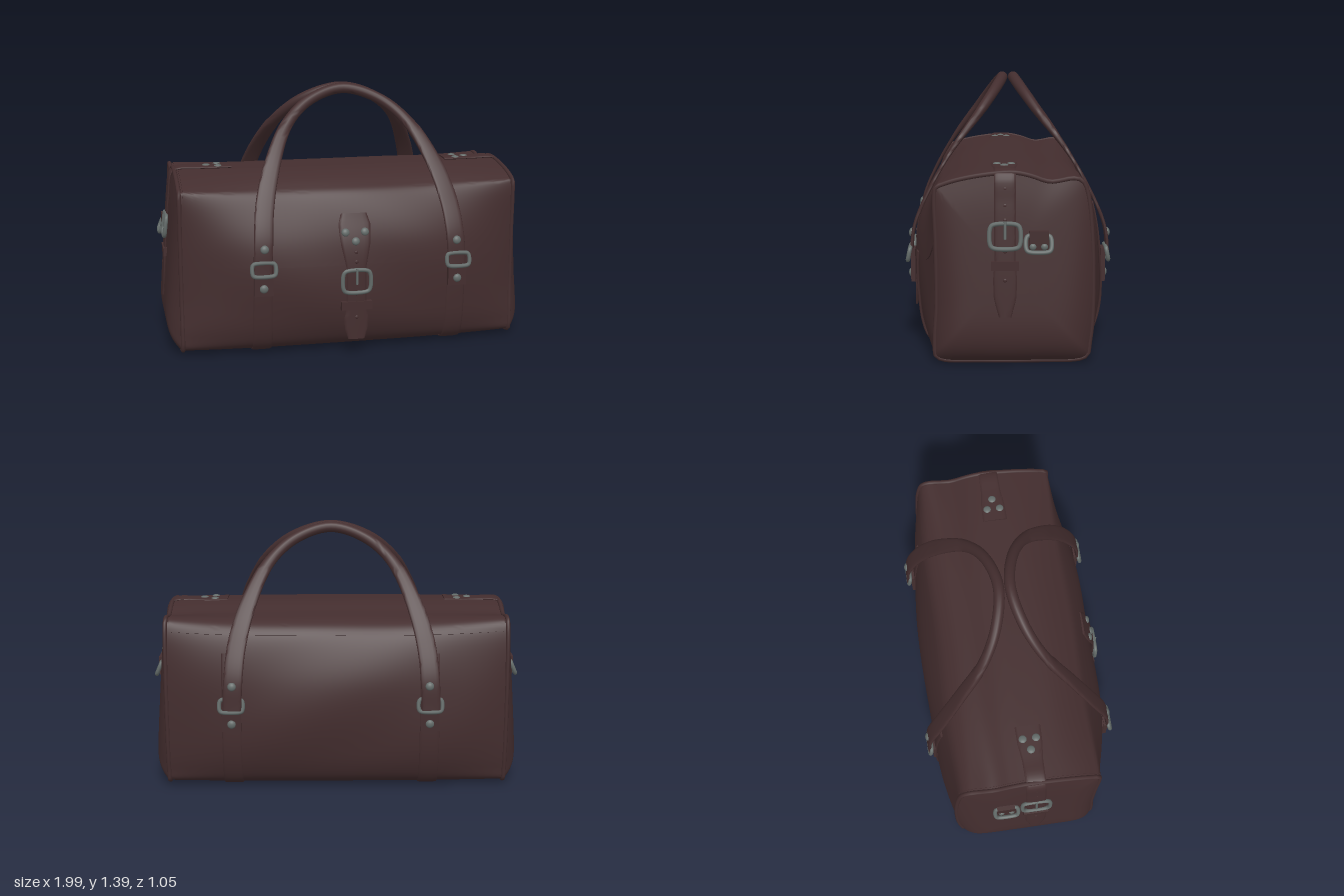
import * as THREE from 'three';
import { mergeVertices, toCreasedNormals } from 'three/addons/utils/BufferGeometryUtils.js';

const V = (x, y, z) => new THREE.Vector3(x, y, z);
const leather = new THREE.MeshStandardMaterial({ color: 0x432d2e });
leather.name = 'brown leather';
const metal = new THREE.MeshStandardMaterial({ color: 0x626a68 });
metal.name = 'dull metal';

// Cross-sections as [z, y], from the top centre over the front, bottom and back
const END = [[0, .945], [.18, .925], [.33, .885], [.362, .84], [.357, .6], [.355, .3], [.365, .1], [.34, .022], [.15, .012],
  [-.15, .012], [-.36, .022], [-.395, .1], [-.41, .3], [-.405, .6], [-.38, .84], [-.33, .915], [-.2, .9], [-.1, .93]];
const MID = [[0, .95], [.18, .935], [.31, .88], [.38, .81], [.465, .6], [.49, .35], [.46, .13], [.37, .018], [.15, .012],
  [-.15, .012], [-.37, .018], [-.46, .13], [-.495, .35], [-.475, .6], [-.4, .82], [-.32, .895], [-.2, .92], [-.1, .945]];
const N = END.length, HALF = 0.91;
const loop = pts => new THREE.CatmullRomCurve3(pts.map(([z, y]) => V(0, y, z)), true, 'catmullrom', 0.5);
const endLoop = loop(END), midLoop = loop(MID);

// Point on the body; u runs once round the section
function bodyPoint(x, u) {
  u = ((u % 1) + 1) % 1;
  const b = 1 - Math.pow(Math.min(1, Math.abs(x) / HALF), 3);
  const p = endLoop.getPoint(u).lerp(midLoop.getPoint(u), b);
  p.z += 0.006 * b * Math.sin(6 * x + 9 * p.y) * Math.min(1, p.y * 4);
  p.x = x;
  return p;
}
function bodyOffset(x, u, d) {
  const e = 0.003;
  const du = bodyPoint(x, u + e).sub(bodyPoint(x, u - e));
  const dx = bodyPoint(x + e, u).sub(bodyPoint(x - e, u));
  return bodyPoint(x, u).addScaledVector(du.cross(dx).normalize(), d);
}

// Surface from a function of two grid indices
function grid(ns, nt, fn) {
  const pos = [], idx = [], w = nt + 1;
  for (let i = 0; i <= ns; i++) for (let j = 0; j <= nt; j++) pos.push(...fn(i, j).toArray());
  for (let i = 0; i < ns; i++) for (let j = 0; j < nt; j++) {
    const a = i * w + j, b = a + w;
    idx.push(a, b, b + 1, a, b + 1, a + 1);
  }
  const g = new THREE.BufferGeometry();
  g.setAttribute('position', new THREE.Float32BufferAttribute(pos, 3));
  g.setIndex(idx);
  return toCreasedNormals(mergeVertices(g, 1e-5), 0.9);
}

function lerpList(list, t) {
  const f = t * (list.length - 1), i = Math.min(list.length - 2, Math.floor(f));
  return list[i] + (list[i + 1] - list[i]) * (f - i);
}

// Strap swept along points, with half widths and half thicknesses along its length
function sweep(pts, widthDir, hw, ht, steps = 36) {
  const c = new THREE.CatmullRomCurve3(pts, false, 'centripetal'), sides = 16;
  const pw = v => Math.sign(v) * Math.pow(Math.abs(v), 0.6);
  const rows = [];
  for (let j = 0; j <= steps + 2; j++) {
    const t = Math.min(1, Math.max(0, (j - 1) / steps)), T = c.getTangentAt(t);
    const W = widthDir(T);
    W.addScaledVector(T, -W.dot(T)).normalize();
    const k = j === 0 || j === steps + 2 ? 0 : 1;
    rows.push({ p: c.getPointAt(t), W, M: T.clone().cross(W), a: k * lerpList(hw, t), b: k * lerpList(ht, t) });
  }
  return grid(sides, steps + 2, (i, j) => {
    const r = rows[j], q = (i % sides) / sides * Math.PI * 2, round = r.b / (r.a || 1) > 0.6;
    const cs = Math.cos(q), sn = Math.sin(q);
    return r.p.clone().addScaledVector(r.W, r.a * (round ? cs : pw(cs))).addScaledVector(r.M, r.b * (round ? sn : pw(sn)));
  });
}
const alongX = () => V(1, 0, 0), alongZ = () => V(0, 0, 1);

export function createModel() {
  const root = new THREE.Group();
  root.name = 'travelBag';
  const add = (name, geo, mat, parent = root) => {
    const m = new THREE.Mesh(geo, mat);
    m.name = name;
    parent.add(m);
    return m;
  };

  // Rivet or eyelet facing the direction n
  function dot(name, p, n, r, h, mat) {
    const g = new THREE.SphereGeometry(1, 14, 6, 0, Math.PI * 2, 0, Math.PI / 2).scale(r, h, r);
    const m = add(name, g, mat);
    m.position.copy(p);
    m.quaternion.setFromUnitVectors(V(0, 1, 0), n.clone().normalize());
  }

  // Rounded rectangular frame in its own xy plane, with an optional prong
  function buckle(name, w, h, r, prong) {
    const g = new THREE.Group(), a = w / 2 - r, b = h / 2 - r, k = 0.2 * h;
    g.name = name;
    const pts = [[a, b - k], [a - k * .3, b - k * .3], [a - k, b], [k - a, b], [k * .3 - a, b - k * .3], [-a, b - k],
      [-a, k - b], [k * .3 - a, k * .3 - b], [k - a, -b], [a - k, -b], [a - k * .3, k * .3 - b], [a, k - b]];
    const c = new THREE.CatmullRomCurve3(pts.map(([x, y]) => V(x, y, 0)), true, 'centripetal');
    add('frame', new THREE.TubeGeometry(c, 60, r, 8, true), metal, g);
    if (prong) add('prong', new THREE.CylinderGeometry(r * .6, r * .6, h * .6, 8), metal, g).position.set(0, h * .2, r * .8);
    root.add(g);
    return g;
  }

  // Body and flap
  add('body', grid(144, 48, (i, j) => bodyPoint(HALF * (2 * j / 48 - 1), (i % 144) / 144)), leather);
  const flapEdge = x => (4.48 - 0.1 * (x / .9) ** 2 - 0.5 * Math.max(0, (Math.abs(x) - .7) / .2) ** 3) / N;
  const flapS = 70, flapT = 60;
  add('frontFlap', grid(flapS, flapT, (i, j) => {
    const s = THREE.MathUtils.clamp((i - 1) / (flapS - 2), 0, 1), t = THREE.MathUtils.clamp((j - 1) / (flapT - 2), 0, 1);
    const x = 0.885 * (2 * t - 1), u0 = -3.9 / N;
    const rim = i === 0 || j === 0 || i === flapS || j === flapT;
    return bodyOffset(x, u0 + (flapEdge(x) - u0) * s, rim ? -0.004 : 0.006);
  }), leather);

  for (const s of [1, -1]) {
    // Bulging end panel, fuller towards the base, with piping round its rim
    add('endPanel', grid(72, 18, (i, j) => {
      const p = endLoop.getPoint((i % 72) / 72), k = Math.sqrt(1 - (s > 0 ? j : 18 - j) / 18);
      const y = .47 + (p.y - .47) * k;
      return V(s * (HALF + (.092 - .085 * y) * (1 - k ** 6)), y, p.z * k);
    }), leather);
    const rim = Array.from({ length: 54 }, (_, i) => endLoop.getPoint(i / 54).setX(s * .905));
    add('endPiping', new THREE.TubeGeometry(new THREE.CatmullRomCurve3(rim, true), 120, 0.012, 8, true), leather);

    // End strap, from the top over the rim and down the panel
    const z = .022, out = V(s, 0, 0);
    const path = [[.6, .954], [.78, .952], [.88, .952], [.918, .935], [.94, .8], [.954, .65], [.966, .5], [.982, .25]];
    add('endStrap', sweep(path.map(([x, y]) => V(s * x, y, z)), alongZ,
      [.068, .066, .055, .053, .053, .053, .053, .053, .05, .058, .055, .03], [.007, .007], 50), leather);
    add('endKeeper', new THREE.BoxGeometry(.024, .045, .135), leather).position.set(s * .966, .5, z);
    for (const [x, dz] of [[.67, .035], [.67, -.035], [.73, 0]]) dot('topRivet', V(s * x, .957, z + dz), V(0, 1, 0), .022, .01, metal);
    for (const [x, y] of [[.938, .87], [.946, .79], [.954, .72], [.967, .57], [.977, .43]]) dot('strapEyelet', V(s * x, y, z), out, .01, .004, leather);
    const b = buckle('endBuckle', .17, .14, .011, true);
    b.position.set(s * .963, .643, z);
    b.rotation.set(0, s * Math.PI / 2, s * .12, 'ZYX');

    // Tilted side ring hanging from its leather tab
    add('ringTab', new THREE.BoxGeometry(.034, .06, .095), leather).position.set(s * .952, .638, -.142);
    add('ringTabBase', new THREE.BoxGeometry(.02, .05, .095), leather).position.set(s * .956, .595, -.142);
    const ring = buckle('sideRing', .145, .105, .011, false);
    ring.position.set(s * .968, .608, -.14);
    ring.rotation.set(0, s * Math.PI / 2, s * .4, 'ZYX');
    for (const dz of [-.028, .028]) dot('tabRivet', V(s * .965, .592, -.14 + dz), out, .017, .012, metal);
  }

  // Front closing strap
  add('frontStrap', sweep([V(0, .745, .425), V(0, .6, .478), V(0, .48, .498), V(0, .35, .502), V(0, .25, .503), V(0, .08, .505)],
    alongX, [.07, .086, .084, .078, .066, .054, .053, .053, .053, .053, .066, .062, .045], [.007, .007]), leather);
  add('frontKeeper', new THREE.BoxGeometry(.165, .045, .03), leather).position.set(0, .265, .502);
  for (const [x, y, z] of [[-.052, .653, .467], [.052, .653, .467], [0, .607, .482]]) dot('frontRivet', V(x, y, z), V(0, .35, 1), .022, .014, metal);
  for (const [y, z] of [[.55, .495], [.5, .503], [.33, .509], [.2, .51]]) dot('frontEyelet', V(0, y, z), V(0, 0, 1), .01, .004, leather);
  buckle('frontBuckle', .17, .14, .011, true).position.set(0, .397, .513);

  // Handles, wrap-round straps and their rings
  const cx = 0.028;
  const half = [[.522, .46, .507], [.515, .62, .49], [.495, .8, .416], [.435, 1, .3], [.33, 1.19, .155], [.19, 1.305, .07], [0, 1.36, .03]];
  for (const f of [1, -1]) {
    const pts = [...half.map(([x, y, z]) => V(cx - x, y, f * z - .008)),
      ...half.slice(0, -1).reverse().map(([x, y, z]) => V(cx + x, y, f * z - .008))];
    const tilt = V(0, .55, .83 * f);
    add('handle', sweep(pts, T => T.clone().cross(tilt),
      [.05, .05, .05, .046, .038, .031, .029, .029, .029, .031, .038, .046, .05, .05, .05],
      [.009, .009, .009, .01, .018, .026, .029, .029, .029, .026, .018, .01, .009, .009, .009], 90), leather);
    for (const x of [-.49, .555]) {
      add('strapEnd', new THREE.BoxGeometry(.1, .17, .022), leather).position.set(x, .425, f * .487);
      dot('upperRivet', V(x + Math.sign(-x) * .006, .59, f * .503 - .008), V(0, .25, f), .023, .015, metal);
      dot('lowerRivet', V(x, .38, f * .497), V(0, 0, f), .023, .015, metal);
      const r = buckle('handleRing', .145, .09, .011, false);
      r.position.set(x, .485, f * .508);
      r.rotation.x = -f * .2;
    }
  }
  for (const x of [-.49, .555]) {
    const wrap = Array.from({ length: 40 }, (_, i) => bodyOffset(x, (4.4 + 9.2 * i / 39) / N, .003));
    add('wrapStrap', sweep(wrap, alongX, [.052, .052], [.007, .007], 70), leather);
  }
  return root;
}
